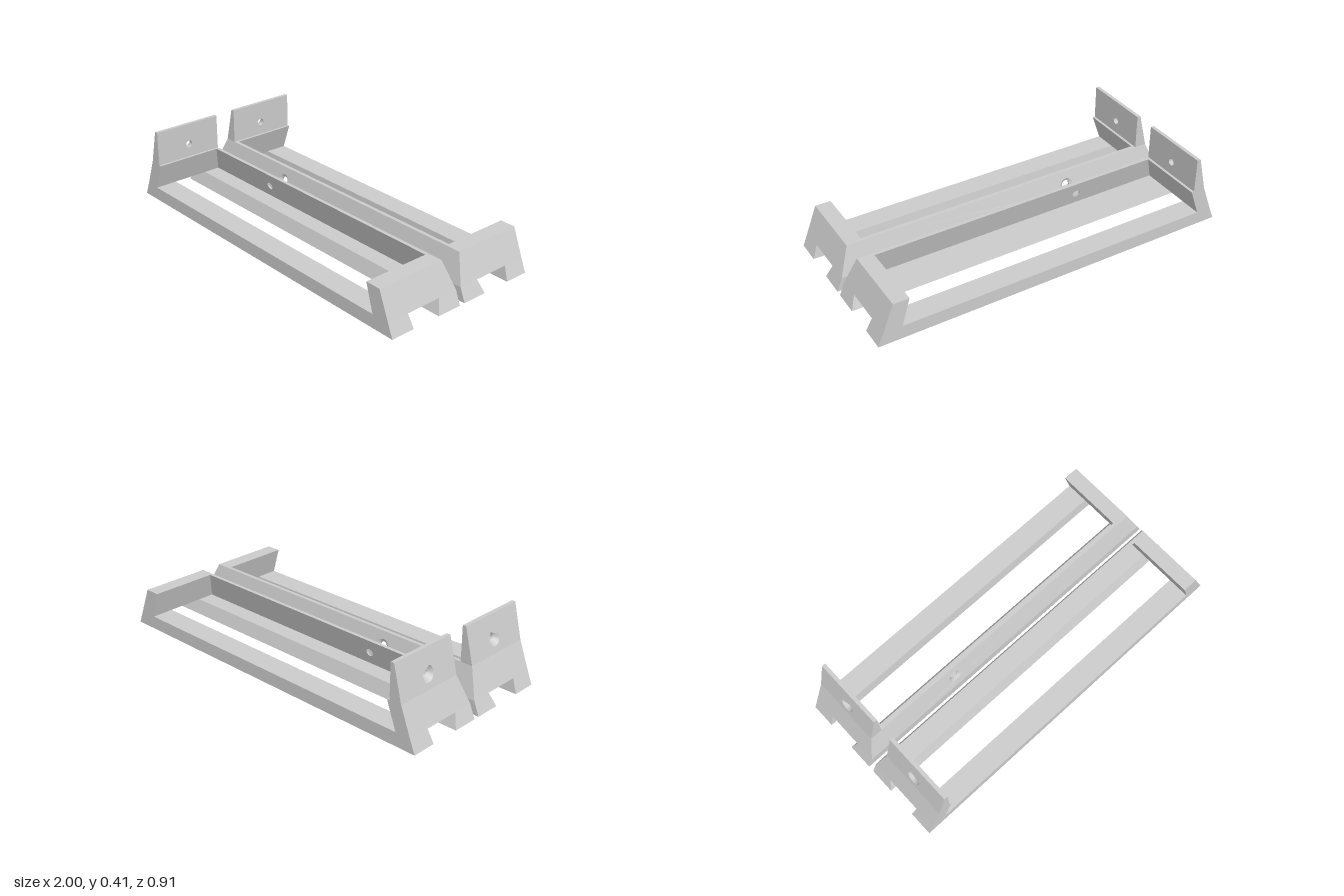
import * as THREE from 'three';
import { toCreasedNormals } from 'three/addons/utils/BufferGeometryUtils.js';

const FLOOR = 0.073, RIM = 0.222, TOP = 0.415, OUT = 0.456;
const material = new THREE.MeshStandardMaterial({ color: 0xcccccc });

// Move every vertex by a rule
function reshape(geo, rule) {
  const p = geo.attributes.position;
  for (let i = 0; i < p.count; i++) p.setXYZ(i, ...rule(p.getX(i), p.getY(i), p.getZ(i)));
  return geo;
}

// Block whose bottom and top are different rectangles [x0, x1, z0, z1]
function taperedBlock(y0, bottom, y1, top) {
  const mix = (i, t) => bottom[i] + (top[i] - bottom[i]) * t;
  return reshape(new THREE.BoxGeometry(1, 1, 1).toNonIndexed(), (x, y, z) => {
    const t = y + 0.5;
    return [mix(x < 0 ? 0 : 1, t), y0 + (y1 - y0) * t, mix(z < 0 ? 2 : 3, t)];
  });
}

// Plate with a hole of radius r, countersunk to radius wide at depth 0 or 1
function drilledPlate(outline, cx, cy, r, wide, wideEnd, place) {
  const shape = new THREE.Shape(outline.map(([u, v]) => new THREE.Vector2(u, v)));
  shape.holes.push(new THREE.Path().absarc(cx, cy, r, 0, Math.PI * 2, true));
  const geo = new THREE.ExtrudeGeometry(shape, { depth: 1, steps: 2, bevelEnabled: false, curveSegments: 28 });
  return reshape(geo, (u, v, t) => {
    const inHole = Math.hypot(u - cx, v - cy) < r * 1.05;
    const k = inHole && Math.abs(t - wideEnd) < 0.01 ? wide / r : 1;
    return place(cx + (u - cx) * k, cy + (v - cy) * k, t);
  });
}

// Mirror across z = 0, turning the triangles back to face outwards
function mirrored(geo) {
  const g = geo.clone().scale(1, 1, -1), p = g.attributes.position;
  for (let i = 0; i < p.count; i += 3) {
    const a = new THREE.Vector3().fromBufferAttribute(p, i);
    const c = new THREE.Vector3().fromBufferAttribute(p, i + 2);
    p.setXYZ(i, c.x, c.y, c.z);
    p.setXYZ(i + 2, a.x, a.y, a.z);
  }
  return g;
}

export function createModel() {
  const parts = {
    // Floor rails either side of the dovetail slot
    outerRail: taperedBlock(0, [-1, 1, 0.321, OUT], FLOOR, [-0.97, 0.97, 0.332, OUT]),
    innerRail: taperedBlock(0, [-1, 1, 0.016, 0.158], FLOOR, [-0.97, 0.97, 0.016, 0.13]),
    // Leaning end walls
    rightEndWall: taperedBlock(FLOOR, [-0.97, -0.885, 0.016, OUT], RIM, [-0.913, -0.83, 0.06, OUT]),
    leftEndWall: taperedBlock(FLOOR, [0.87, 0.97, 0.016, OUT], RIM, [0.825, 0.91, 0.06, OUT]),
    // Leaning long wall with screw hole
    longWall: drilledPlate(
      [[-0.885, FLOOR], [0.87, FLOOR], [0.825, RIM], [-0.83, RIM]], -0.37, 0.145, 0.022, 0.037, 0,
      (x, y, t) => [x, y, 0.016 + 0.044 * (y - FLOOR) / (RIM - FLOOR) + 0.02 * t]),
    // Upright mounting flange, tapering towards its top
    mountingFlange: drilledPlate(
      [[0.06, RIM], [OUT, RIM], [OUT, TOP], [0.06, TOP]], 0.253, 0.295, 0.02, 0.04, 1,
      (z, y, t) => [-0.845 - t * (0.068 - 0.048 * (y - RIM) / (TOP - RIM)), y, z]),
  };

  const model = new THREE.Group();
  model.name = 'mountingTrays';
  for (const side of ['front', 'back']) {
    const tray = new THREE.Group();
    tray.name = side + 'Tray';
    for (const [name, geo] of Object.entries(parts)) {
      const g = side === 'front' ? geo : mirrored(geo);
      const mesh = new THREE.Mesh(toCreasedNormals(g, 0.5), material);
      mesh.name = name;
      tray.add(mesh);
    }
    model.add(tray);
  }
  return model;
}
